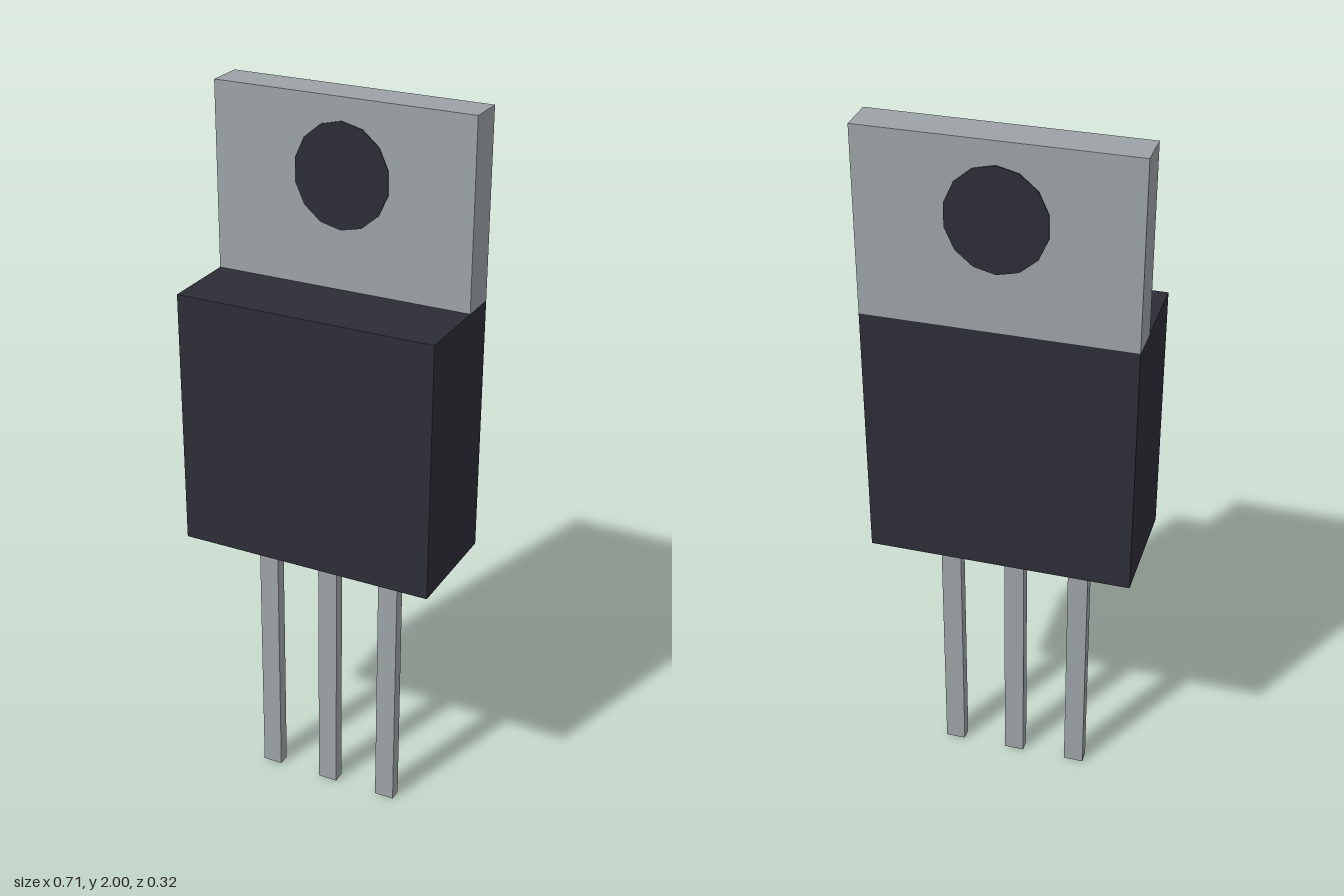
import * as THREE from 'three';

export function createModel() {
  const model = new THREE.Group();
  model.name = 'transistor';

  const metal = new THREE.MeshStandardMaterial({ color: 0x9ca2a5 });
  metal.name = 'grey metal';
  const plastic = new THREE.MeshStandardMaterial({ color: 0x2d2d36 });
  plastic.name = 'dark plastic';

  // Box given by its lower and upper corners
  function addBox(name, material, [x0, y0, z0], [x1, y1, z1]) {
    const mesh = new THREE.Mesh(new THREE.BoxGeometry(x1 - x0, y1 - y0, z1 - z0), material);
    mesh.position.set((x0 + x1) / 2, (y0 + y1) / 2, (z0 + z1) / 2);
    mesh.name = name;
    model.add(mesh);
  }

  // Moulded case and the heat-sink tab rising from its back half
  addBox('case', plastic, [-0.357, 0.793, -0.16], [0.357, 1.5, 0.16]);
  addBox('mountingTab', metal, [-0.357, 1.5, -0.16], [0.357, 2, -0.057]);

  // Three square leads
  ['rightLead', 'middleLead', 'leftLead'].forEach((name, i) => {
    const x = (i - 1) * 0.182;
    addBox(name, metal, [x - 0.028, 0, -0.012], [x + 0.028, 0.793, 0.022]);
  });

  // Mounting hole, a dark faceted plug showing on both faces of the tab
  const plug = new THREE.CylinderGeometry(1, 1, 0.109, 14).rotateX(Math.PI / 2);
  plug.scale(0.132, 0.14, 1);
  const hole = new THREE.Mesh(plug, plastic);
  hole.position.set(0, 1.8, -0.1085);
  hole.name = 'mountingHole';
  model.add(hole);

  return model;
}
